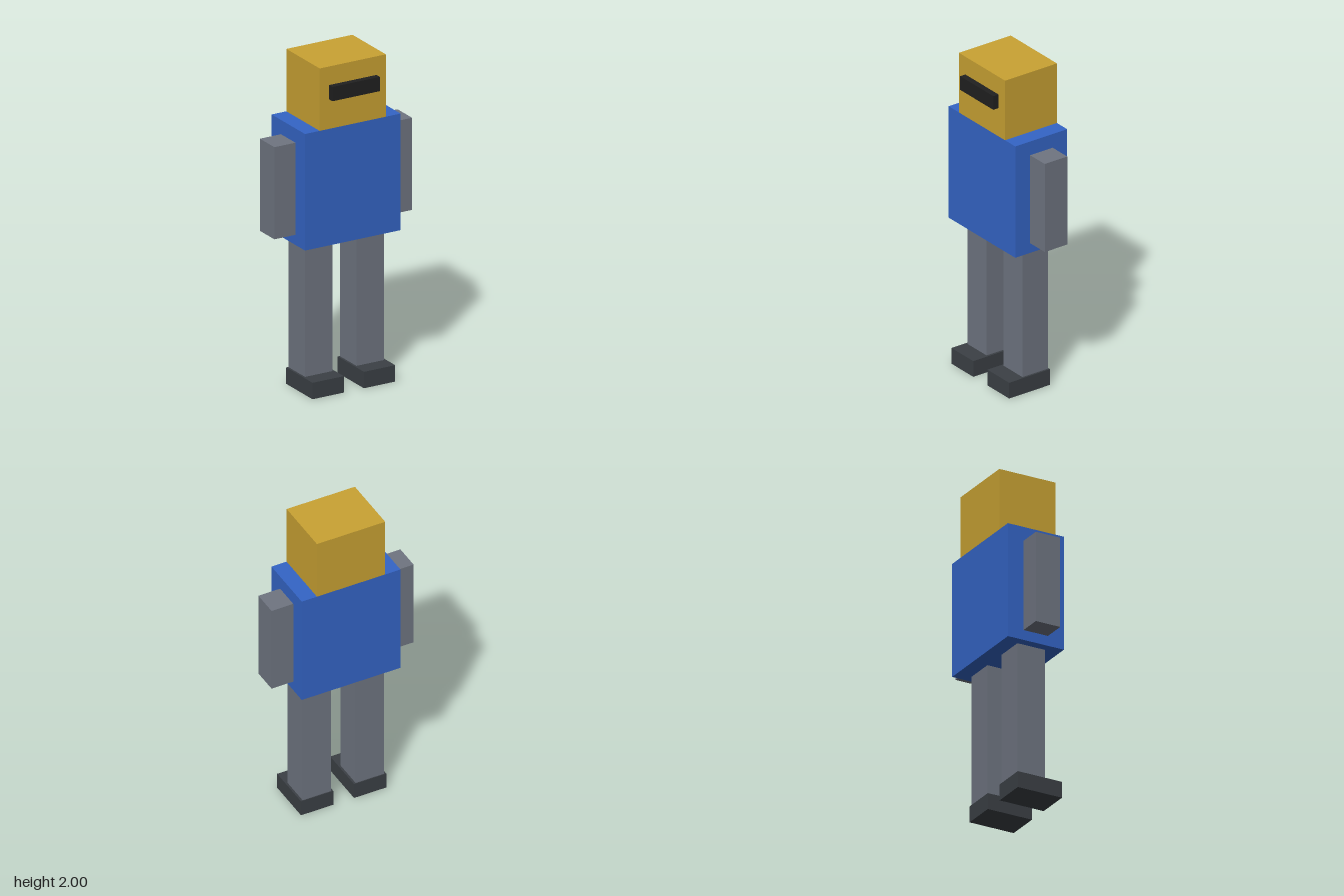
import * as THREE from 'three';

const material = (name, color) => {
  const m = new THREE.MeshStandardMaterial({ color });
  m.name = name;
  return m;
};

export function createModel() {
  const model = new THREE.Group();
  model.name = 'blockFigure';

  const gold = material('gold', 0xc9a233);
  const blue = material('blue', 0x3465c6);
  const grey = material('grey', 0x6f7581);
  const darkGrey = material('darkGrey', 0x3b4045);
  const black = material('black', 0x202020);

  // Box given by its lower and upper corners
  const block = (name, mat, [x0, y0, z0], [x1, y1, z1]) => {
    const mesh = new THREE.Mesh(new THREE.BoxGeometry(x1 - x0, y1 - y0, z1 - z0), mat);
    mesh.position.set((x0 + x1) / 2, (y0 + y1) / 2, (z0 + z1) / 2);
    mesh.name = name;
    model.add(mesh);
    return mesh;
  };

  // Head, visor and torso
  block('head', gold, [-0.22, 1.62, -0.203], [0.22, 2, 0.165]);
  block('visor', black, [-0.158, 1.8, 0.15], [0.158, 1.887, 0.202]);
  block('torso', blue, [-0.318, 0.91, -0.203], [0.318, 1.62, 0.165]);

  // Limbs, built on the left and mirrored to the right
  for (const [side, s] of [['left', 1], ['right', -1]]) {
    const limbs = [
      block(side + 'Arm', grey, [0.3, 0.972, -0.1], [0.458, 1.533, 0.06]),
      block(side + 'Leg', grey, [0.08, 0.09, -0.108], [0.262, 0.92, 0.073]),
      block(side + 'Boot', darkGrey, [0.067, 0, -0.113], [0.275, 0.1, 0.177]),
    ];
    limbs.forEach((limb) => { limb.position.x *= s; });
  }

  return model;
}
